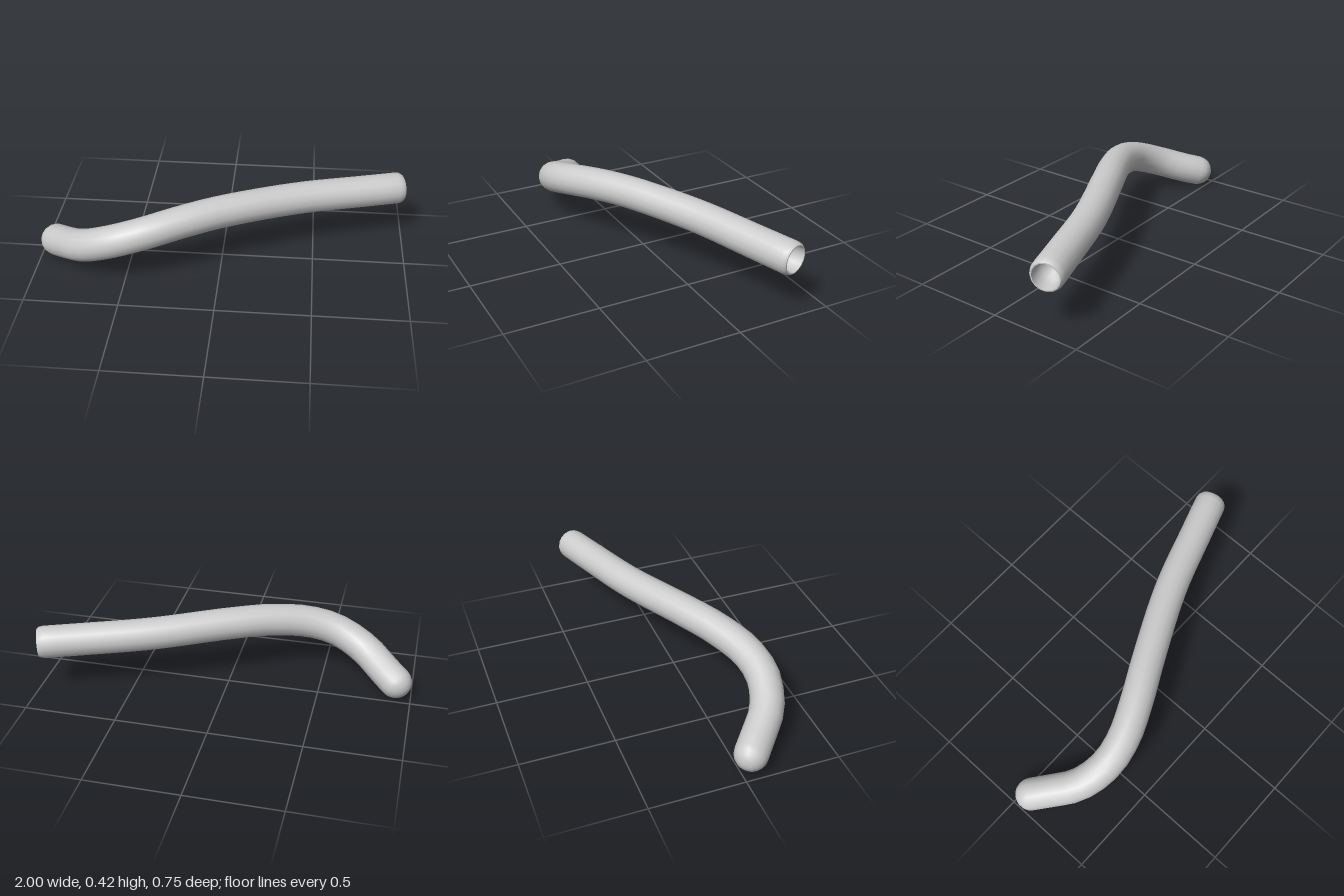
import * as THREE from 'three';
import { mergeVertices, toCreasedNormals } from 'three/addons/utils/BufferGeometryUtils.js';

const RADIUS = 0.088;
const SIDES = 16;

// Centre line, from the rounded tip to the open end
const path = new THREE.CatmullRomCurve3([
  [-0.912, 0.088, 0.062], [-0.845, 0.115, 0.122], [-0.72, 0.175, 0.228],
  [-0.56, 0.243, 0.277], [-0.4, 0.288, 0.258], [-0.2, 0.32, 0.175],
  [0, 0.33, 0.073], [0.4, 0.319, -0.115], [0.75, 0.307, -0.235], [0.976, 0.3, -0.31],
].map(p => new THREE.Vector3(...p)));

// Bends a lathe that stands along y so that its axis follows the path
function bendAlong(geometry, curve) {
  const length = curve.getLength();
  const up = new THREE.Vector3(0, 1, 0);
  const pos = geometry.attributes.position;
  const v = new THREE.Vector3();
  for (let i = 0; i < pos.count; i++) {
    v.fromBufferAttribute(pos, i);
    const t = THREE.MathUtils.clamp(v.y / length, 0, 1);
    const tangent = curve.getTangentAt(t);
    const side = tangent.clone().cross(up).normalize();
    const top = side.clone().cross(tangent);
    const p = curve.getPointAt(t)
      .addScaledVector(tangent, v.y - t * length)
      .addScaledVector(side, v.x)
      .addScaledVector(top, v.z);
    pos.setXYZ(i, p.x, p.y, p.z);
  }
  return geometry;
}

function sweptProfile(points) {
  const lathe = new THREE.LatheGeometry(points.map(p => new THREE.Vector2(...p)), SIDES);
  bendAlong(lathe, path);
  lathe.deleteAttribute('uv');
  lathe.deleteAttribute('normal');
  return toCreasedNormals(mergeVertices(lathe, 1e-5), 0.8);
}

export function createModel() {
  const group = new THREE.Group();
  group.name = 'bentTube';
  const material = new THREE.MeshStandardMaterial({ color: 0xcccccc });
  const length = path.getLength();

  // Outer skin: domed tip, long body, slightly rounded rim
  const skin = [];
  for (let i = 0; i <= 5; i++) {
    const a = (i / 5) * Math.PI / 2;
    skin.push([RADIUS * Math.sin(a), -RADIUS * Math.cos(a)]);
  }
  const steps = 28;
  for (let i = 1; i <= steps; i++) skin.push([RADIUS, (i / steps) * (length - 0.035)]);
  skin.push([0.084, length - 0.012], [0.076, length], [0.07, length]);
  const body = new THREE.Mesh(sweptProfile(skin), material);
  body.name = 'tubeBody';

  // Hollow of the open end, closed by a rounded bottom
  const hollow = [[0.07, length], [0.068, length - 0.05], [0.06, length - 0.09],
    [0.035, length - 0.115], [0, length - 0.12]];
  const socket = new THREE.Mesh(sweptProfile(hollow), material);
  socket.name = 'openEndHollow';

  group.add(body, socket);
  return group;
}
